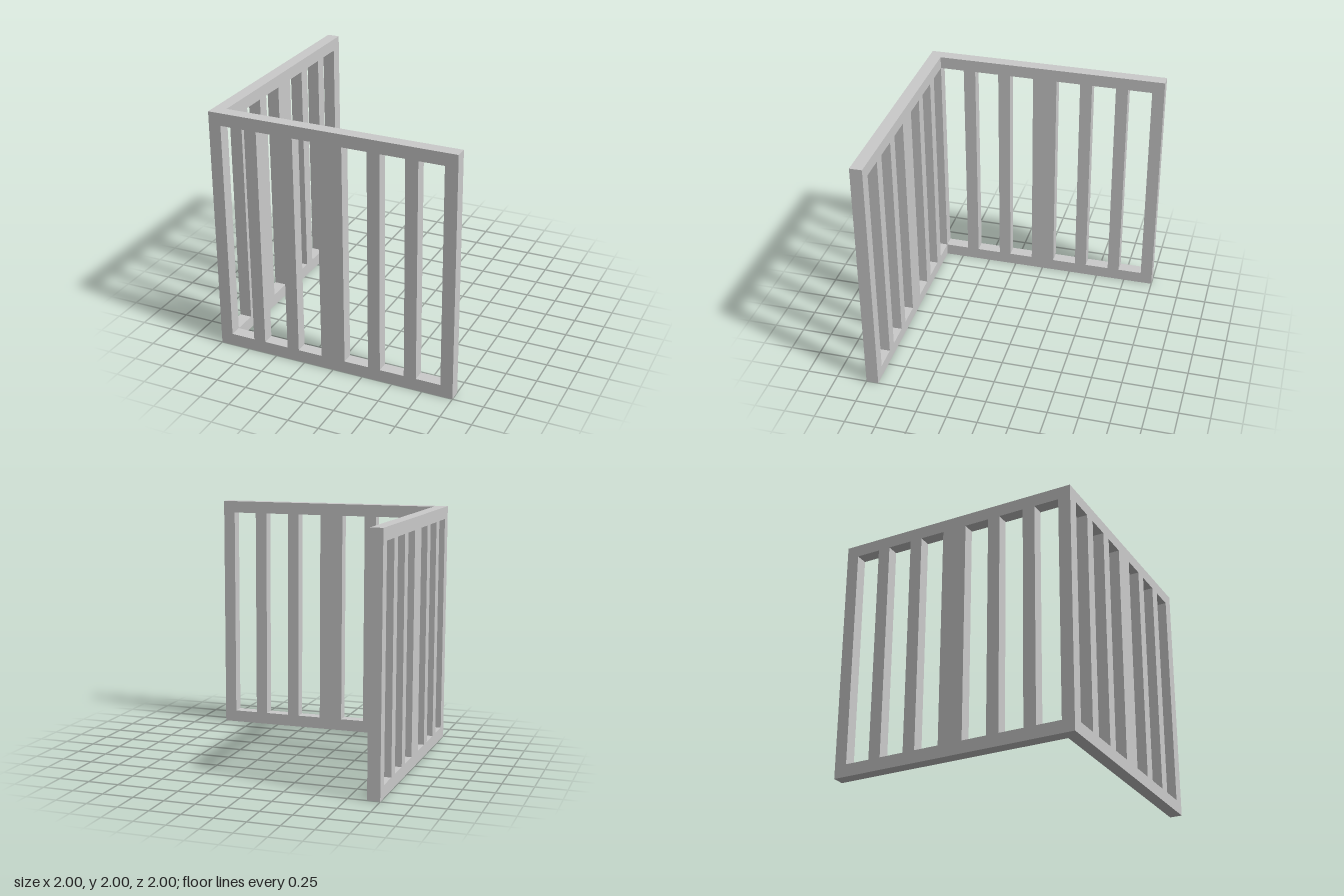
import * as THREE from 'three';

const T = 0.1; // frame width and panel thickness
const H = 2;

// Extruded panel: an outline with tall rectangular openings
function panel(name, outline, openings, material) {
  const shape = new THREE.Shape(outline.map(([x, y]) => new THREE.Vector2(x, y)));
  for (const [a, b] of openings) {
    const hole = new THREE.Path();
    hole.moveTo(a, T).lineTo(a, H - T).lineTo(b, H - T).lineTo(b, T).closePath();
    shape.holes.push(hole);
  }
  const geometry = new THREE.ExtrudeGeometry(shape, { depth: T, bevelEnabled: false });
  const mesh = new THREE.Mesh(geometry, material);
  mesh.name = name;
  return mesh;
}

export function createModel() {
  const group = new THREE.Group();
  group.name = 'cornerRailing';
  const material = new THREE.MeshStandardMaterial({ color: 0xcccccc, flatShading: true });

  // Three openings on each side of the wide middle post
  const openings = [];
  for (const start of [-0.9, -0.6, -0.3, 0.1, 0.4, 0.7]) openings.push([start, start + 0.2]);

  // Front panel, running the full width and including the corner post
  const front = panel('frontPanel', [[-1, 0], [1, 0], [1, H], [-1, H]], openings, material);
  front.position.z = 1 - T;
  group.add(front);

  // Side panel: its last opening is a notch closed by the corner post
  const end = 1 - T;
  const side = panel('sidePanel', [
    [-1, 0], [end, 0], [end, T], [0.7, T],
    [0.7, H - T], [end, H - T], [end, H], [-1, H],
  ], openings.slice(0, 5), material);
  side.rotation.y = -Math.PI / 2;
  side.position.x = -1 + T;
  group.add(side);

  return group;
}
